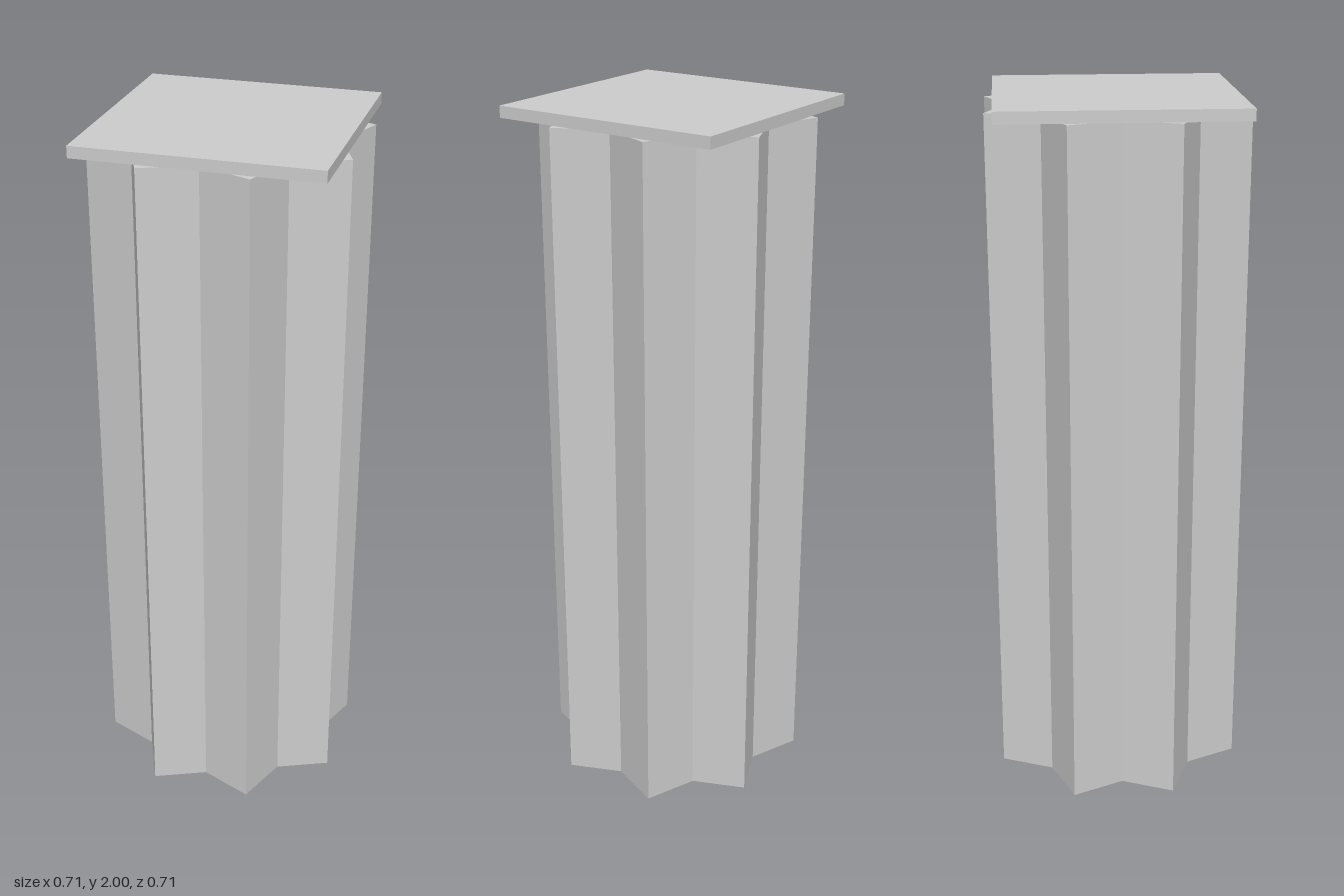
import * as THREE from 'three';

const TIP = 0.383;    // radius of the star's points
const NOTCH = 0.293;  // radius of the star's inner corners
const SHAFT_TOP = 1.968;
const CAP_SIZE = 0.662;

// Eight-pointed star, with notches on the axes
function starShape() {
  const points = [];
  for (let i = 0; i < 16; i++) {
    const r = i % 2 ? TIP : NOTCH;
    const a = (i * Math.PI) / 8;
    points.push(new THREE.Vector2(r * Math.cos(a), r * Math.sin(a)));
  }
  return new THREE.Shape(points);
}

export function createModel() {
  const group = new THREE.Group();
  group.name = 'column';
  const material = new THREE.MeshStandardMaterial({ color: 0xcccccc, flatShading: true });

  // Star-section shaft
  const shaftGeometry = new THREE.ExtrudeGeometry(starShape(), { depth: SHAFT_TOP, bevelEnabled: false });
  shaftGeometry.rotateX(-Math.PI / 2);
  const shaft = new THREE.Mesh(shaftGeometry, material);
  shaft.name = 'shaft';
  group.add(shaft);

  // Thin square slab on top
  const capHeight = 2 - SHAFT_TOP;
  const cap = new THREE.Mesh(new THREE.BoxGeometry(CAP_SIZE, capHeight, CAP_SIZE), material);
  cap.name = 'capSlab';
  cap.position.y = SHAFT_TOP + capHeight / 2;
  group.add(cap);

  return group;
}
